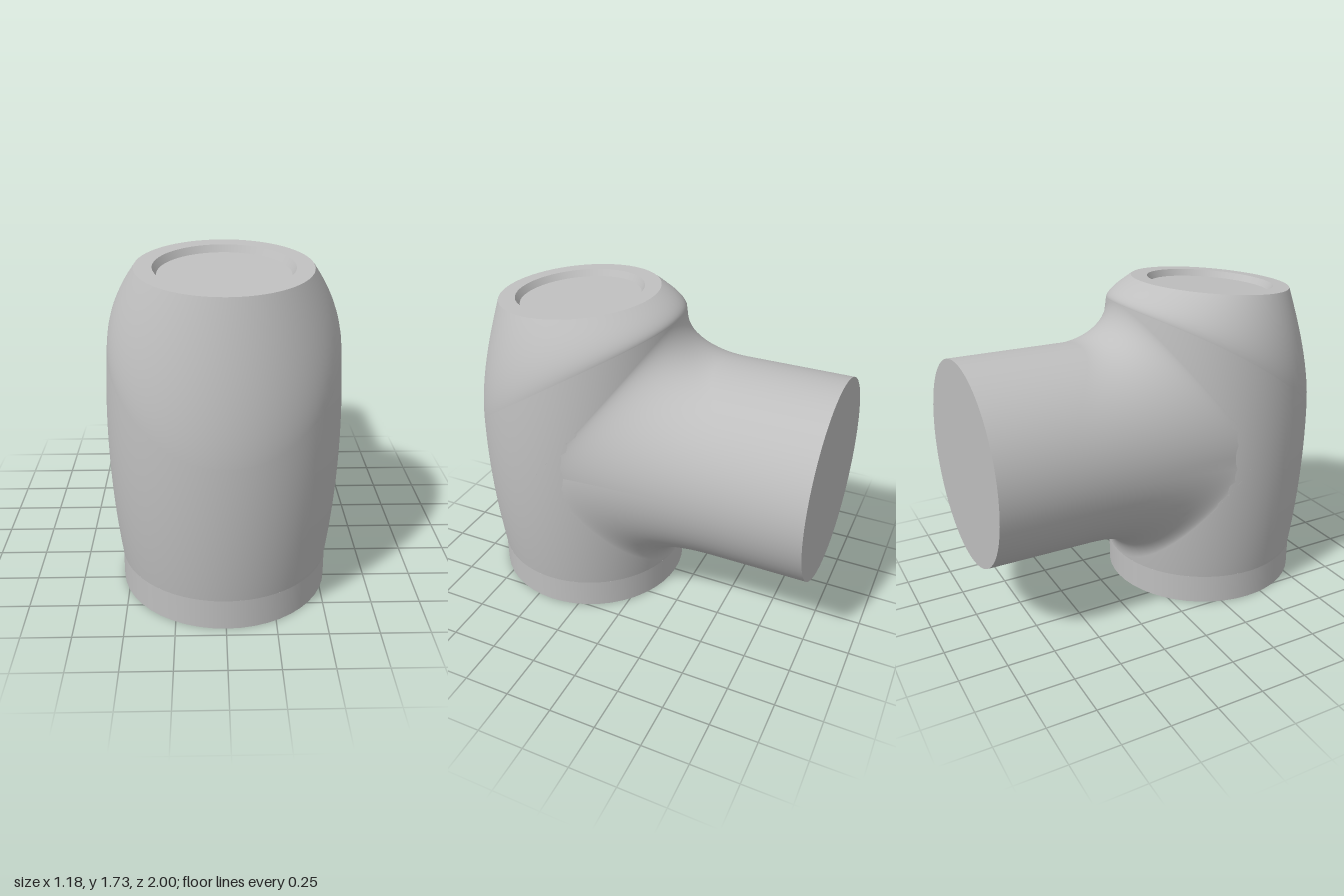
import * as THREE from 'three';
import { ParametricGeometry } from 'three/addons/geometries/ParametricGeometry.js';

const AXIS_Z = 0.41;          // vertical axis of the body
const PIPE_Y = 0.893, PIPE_R = 0.537;
const TILT = 0.082;           // forward slope of the top rim
const RIM = { y: 1.69, z: 0.437, r: 0.43 };

// Barrel radius of the body at height y
const bodyRadius = (y) => 0.59 - 0.05 * ((y - 0.88) / 0.72) ** 2;
// Height at which the barrel turns into the crown; c is 1 at the front, -1 at the back
const crownStart = (c) => 1.34 - 0.36 * c - 0.08 * c * c;
// Where the straight pipe ends and its flare begins
const flareStart = (a) => -0.35 - 0.3 * Math.cos(a) ** 2;

export function createModel() {
  const model = new THREE.Group();
  model.name = 'pipeFitting';
  const grey = new THREE.MeshStandardMaterial({ color: 0xbfbfbf, side: THREE.DoubleSide });
  grey.name = 'grey';

  const add = (name, geometry, parent = model) => {
    const mesh = new THREE.Mesh(geometry, grey);
    mesh.name = name;
    parent.add(mesh);
    return mesh;
  };
  const surface = (name, fn, slices, stacks) => add(name, new ParametricGeometry(fn, slices, stacks));

  // Base collar
  add('baseCollar', new THREE.CylinderGeometry(0.54, 0.54, 0.16, 48)).position.set(0, 0.08, AXIS_Z);

  // Barrel-shaped body, cut by the slanted crown line
  surface('body', (u, v, p) => {
    const a = u * Math.PI * 2, c = Math.cos(a);
    const y = 0.16 + (crownStart(c) - 0.16) * v, r = bodyRadius(y);
    p.set(r * Math.sin(a), y, AXIS_Z + r * c);
  }, 64, 20);

  // Crown curving in from the body to the tilted rim
  surface('crown', (u, v, p) => {
    const a = u * Math.PI * 2, s = Math.sin(a), c = Math.cos(a);
    const y0 = crownStart(c), r0 = bodyRadius(y0);
    const y2 = RIM.y - RIM.r * c * Math.sin(TILT);
    const y1 = y0 + 0.4 * (y2 - y0), r1 = bodyRadius(y1) * 0.4 + r0 * 0.6;
    const w0 = (1 - v) ** 2, w1 = 2 * v * (1 - v), w2 = v * v;
    p.set(
      s * (w0 * r0 + w1 * r1 + w2 * RIM.r),
      w0 * y0 + w1 * y1 + w2 * y2,
      w0 * (AXIS_Z + r0 * c) + w1 * (AXIS_Z + r1 * c) + w2 * (RIM.z + RIM.r * c * Math.cos(TILT))
    );
  }, 64, 14);

  // Straight side pipe with its end cap
  surface('sidePipe', (u, v, p) => {
    const a = u * Math.PI * 2;
    p.set(PIPE_R * Math.cos(a), PIPE_Y + PIPE_R * Math.sin(a), -1 + (flareStart(a) + 1) * v);
  }, 64, 4);
  const cap = add('pipeEndCap', new THREE.CircleGeometry(PIPE_R, 64));
  cap.rotation.y = Math.PI;
  cap.position.set(0, PIPE_Y, -1);

  // Fillet flaring from the pipe onto the body
  surface('pipeFillet', (u, v, p) => {
    const a = u * Math.PI * 2, c = Math.cos(a), s = Math.sin(a);
    const x0 = PIPE_R * c, y0 = PIPE_Y + PIPE_R * s;
    // corner: where the pipe line meets the body
    const z1 = AXIS_Z - Math.sqrt(bodyRadius(y0) ** 2 - x0 * x0);
    // end: saddle curve on the body
    const y2 = 0.89 + 0.73 * s, r2 = bodyRadius(y2);
    // weighted quadratic, close to a circular arc
    const w0 = (1 - v) ** 2, w1 = 2 * v * (1 - v) * 0.72, w2 = v * v, w = w0 + w1 + w2;
    p.set(
      ((w0 + w1) * x0 + w2 * r2 * c) / w,
      ((w0 + w1) * y0 + w2 * y2) / w,
      (w0 * flareStart(a) + w1 * z1 + w2 * (AXIS_Z - r2 * Math.abs(s))) / w
    );
  }, 64, 18);

  // Tilted rim with a shallow recess
  const top = new THREE.Group();
  top.name = 'topRim';
  top.position.set(0, RIM.y, RIM.z);
  top.rotation.x = TILT;
  model.add(top);
  add('rimRing', new THREE.RingGeometry(0.342, RIM.r, 64), top).rotation.x = -Math.PI / 2;
  add('recessWall', new THREE.LatheGeometry(
    [new THREE.Vector2(0.342, 0), new THREE.Vector2(0.322, -0.035)], 64), top);
  const floor = add('recessFloor', new THREE.CircleGeometry(0.322, 64), top);
  floor.rotation.x = -Math.PI / 2;
  floor.position.y = -0.035;

  return model;
}
